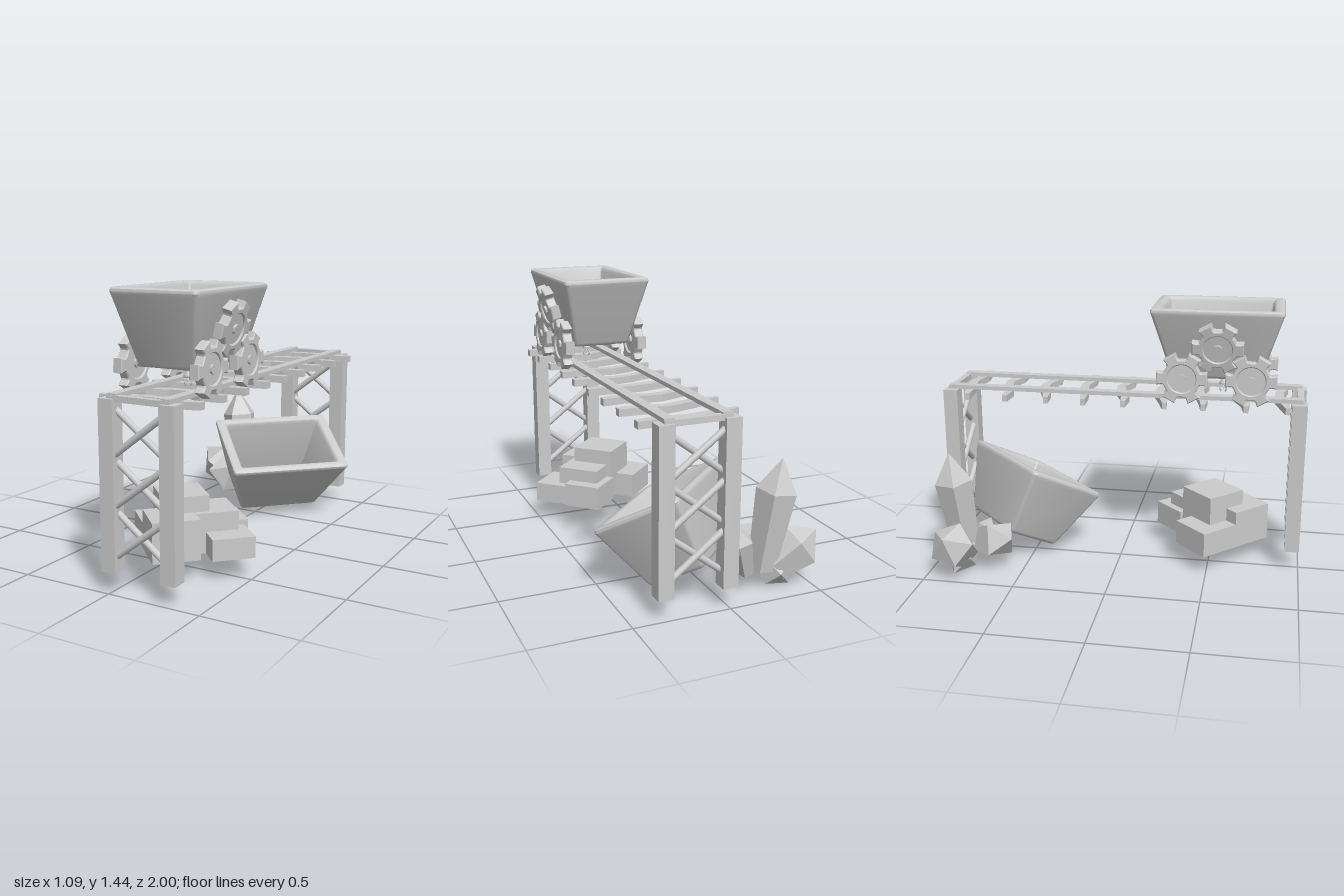
import * as THREE from 'three';
import { toCreasedNormals } from 'three/addons/utils/BufferGeometryUtils.js';

const smooth = new THREE.MeshStandardMaterial({ color: 0xcccccc });
const flat = new THREE.MeshStandardMaterial({ color: 0xcccccc, flatShading: true });
const CX = 0.168; // centre line of the track

function add(parent, name, geometry, x = 0, y = 0, z = 0, material = flat) {
  const mesh = new THREE.Mesh(geometry, material);
  mesh.name = name;
  mesh.position.set(x, y, z);
  parent.add(mesh);
  return mesh;
}

const box = (parent, name, w, h, d, x, y, z) => add(parent, name, new THREE.BoxGeometry(w, h, d), x, y, z);

// Round bar between two points
function bar(parent, name, a, b, r) {
  const dir = b.clone().sub(a);
  const mesh = add(parent, name, new THREE.CylinderGeometry(r, r, dir.length(), 10), 0, 0, 0, smooth);
  mesh.position.copy(a).add(b).multiplyScalar(0.5);
  mesh.quaternion.setFromUnitVectors(new THREE.Vector3(0, 1, 0), dir.normalize());
}

// Hollow tapered tub lofted through rounded rectangles [y, halfX, halfZ, cornerRadius]
function tubGeometry() {
  const rings = [
    [0, 0, 0, 0], [0, 0.145, 0.222, 0.015], [0.006, 0.156, 0.234, 0.02], [0.02, 0.163, 0.241, 0.02],
    [0.345, 0.237, 0.342, 0.02], [0.36, 0.243, 0.349, 0.025], [0.373, 0.24, 0.346, 0.025], [0.38, 0.23, 0.336, 0.02],
    [0.38, 0.205, 0.305, 0.015], [0.374, 0.195, 0.295, 0.012], [0.355, 0.188, 0.285, 0.01],
    [0.04, 0.145, 0.235, 0.008], [0.04, 0, 0, 0],
  ];
  const loops = rings.map(([y, hx, hz, r]) => {
    const loop = [];
    for (let c = 0; c < 4; c++) {
      const sx = c === 0 || c === 3 ? 1 : -1, sz = c < 2 ? 1 : -1;
      for (let k = 0; k <= 3; k++) {
        const a = (c + k / 3) * Math.PI / 2;
        loop.push([sx * (hx - r) + r * Math.cos(a), y, sz * (hz - r) + r * Math.sin(a)]);
      }
    }
    return loop;
  });
  const pos = [];
  for (let i = 0; i < loops.length - 1; i++) {
    const n = loops[i].length;
    for (let j = 0; j < n; j++) {
      const a = loops[i][j], b = loops[i][(j + 1) % n], c = loops[i + 1][j], d = loops[i + 1][(j + 1) % n];
      pos.push(...a, ...c, ...b, ...b, ...c, ...d);
    }
  }
  const g = new THREE.BufferGeometry();
  g.setAttribute('position', new THREE.Float32BufferAttribute(pos, 3));
  return toCreasedNormals(g, 0.7);
}

// Six-toothed wheel with a raised ring, thin web and hub, axis along x
function makeGear(name) {
  const gear = new THREE.Group();
  gear.name = name;
  const shape = new THREE.Shape();
  for (let i = 0; i < 6; i++) {
    const t = i * Math.PI / 3;
    [[0.098, -0.3], [0.108, -0.24], [0.134, -0.23], [0.134, 0.23], [0.108, 0.24], [0.098, 0.3]].forEach(([r, a], k) => {
      const x = r * Math.cos(t + a), y = r * Math.sin(t + a);
      if (i + k === 0) shape.moveTo(x, y); else shape.lineTo(x, y);
    });
  }
  shape.closePath();
  shape.holes.push(new THREE.Path().absarc(0, 0, 0.08, 0, Math.PI * 2, true));
  const ring = new THREE.ExtrudeGeometry(shape, {
    depth: 0.042, bevelEnabled: true, bevelSize: 0.005, bevelThickness: 0.005, bevelSegments: 1, curveSegments: 20,
  });
  ring.translate(0, 0, -0.021).rotateY(Math.PI / 2);
  add(gear, 'gearRing', ring);
  const disc = (r, w) => toCreasedNormals(new THREE.CylinderGeometry(r, r, w, 24).rotateZ(Math.PI / 2), 0.7);
  add(gear, 'gearWeb', disc(0.085, 0.032), 0, 0, 0, smooth);
  add(gear, 'gearHub', disc(0.024, 0.056), 0, 0, 0, smooth);
  return gear;
}

// Crystal with a narrow foot, wide shoulder and pointed tip
function crystal(parent, foot, tip, r, sides, shoulder = 0.7) {
  const a = new THREE.Vector3(...foot), dir = new THREE.Vector3(...tip).sub(a), len = dir.length();
  const profile = [[0, 0], [r * 0.7, 0], [r, len * shoulder], [0, len]].map(p => new THREE.Vector2(...p));
  const mesh = add(parent, 'crystal', new THREE.LatheGeometry(profile, sides), ...foot);
  mesh.quaternion.setFromUnitVectors(new THREE.Vector3(0, 1, 0), dir.normalize());
}

export function createModel() {
  const model = new THREE.Group();
  model.name = 'mineTrack';

  // Rails and end towers
  for (const s of [-1, 1]) {
    box(model, 'rail', 0.052, 0.022, 1.95, CX + s * 0.145, 0.957, 0);
    box(model, 'endBeam', 0.34, 0.03, 0.034, CX, 0.945, s * 0.964);
    for (const t of [-1, 1]) {
      box(model, 'post', 0.08, 0.835, 0.08, CX + t * 0.166, 0.5275, s * 0.96);
      for (const y of [0.786, 0.54, 0.293]) {
        bar(model, 'crossBrace', new THREE.Vector3(CX - 0.16, y - t * 0.122, s * 0.96 + t * 0.008),
          new THREE.Vector3(CX + 0.16, y + t * 0.122, s * 0.96 + t * 0.008), 0.017);
      }
    }
  }

  // Crooked sleepers
  for (let i = 0; i < 9; i++) {
    const w = k => Math.sin(i * 2.3 + k * 1.7) * 0.008;
    const spine = [[-0.265, -0.03, 0.014], [-0.15, -0.016, 0.026], [-0.04, 0.02, 0.029], [0.04, 0.028, 0.026],
      [0.15, -0.002, 0.03], [0.265, 0.008, 0.024]];
    const edge = s => spine.map(([x, z, h], k) => new THREE.Vector2(x, z + w(k) + s * h));
    const plank = new THREE.ExtrudeGeometry(new THREE.Shape([...edge(-1), ...edge(1).reverse()]),
      { depth: 0.036, bevelEnabled: false });
    plank.rotateX(-Math.PI / 2);
    const mesh = add(model, 'sleeper', plank, CX, 0.911, (i - 4) * 0.217);
    mesh.scale.z = 0.9;
  }

  // Upper cart on its gears
  const tub = tubGeometry();
  add(model, 'upperCart', tub, CX, 1.06, 0.51, smooth);
  for (const s of [-1, 1]) {
    for (const [z, y, x, tilt] of [[0.7, 1.072, 0.21, 0], [0.335, 1.072, 0.21, 0], [0.522, 1.244, 0.23, 0.235]]) {
      const gear = makeGear('gearWheel');
      gear.position.set(CX + s * x, y, z);
      gear.rotation.z = -s * tilt;
      model.add(gear);
      if (!tilt) bar(model, 'axle', new THREE.Vector3(CX + s * 0.13, y, z), new THREE.Vector3(CX + s * x, y, z), 0.018);
    }
  }

  // Claw hanging below the upper cart
  const stem = [[0, 0.11], [0.012, 0.11], [0.013, 0.065], [0.022, 0.045], [0.022, 0.035], [0.01, 0.03], [0, 0.03]];
  add(model, 'clawStem', new THREE.LatheGeometry(stem.reverse().map(p => new THREE.Vector2(...p)), 12), CX, 0.96, 0.544);
  for (let i = 0; i < 3; i++) {
    const finger = add(model, 'clawFinger', new THREE.TorusGeometry(0.02, 0.005, 6, 10, 3.6), CX, 0.974, 0.544);
    finger.rotation.set(0, i * Math.PI * 2 / 3, -0.9, 'YXZ');
  }

  // Pile of blocks standing on their corners in plan: [x, z, half diagonal, bottom, top]
  const blocks = [[0.1, 0.51, 0.168, 0.2, 0.405], [-0.03, 0.49, 0.17, 0.115, 0.25], [0.13, 0.65, 0.17, 0.115, 0.322],
    [0.22, 0.43, 0.17, 0.115, 0.322], [0.36, 0.485, 0.155, 0.115, 0.225], [0.24, 0.33, 0.15, 0.118, 0.25]];
  const pile = new THREE.Group();
  pile.name = 'blockPile';
  for (const [x, z, d, y0, y1] of blocks) {
    const w = d * Math.SQRT2;
    box(pile, 'block', w, y1 - y0, w, x, (y0 + y1) / 2, z).rotation.y = Math.PI / 4;
  }
  model.add(pile);

  // Fallen cart, turned and tipped, with a small heap inside
  const fallen = new THREE.Group();
  fallen.name = 'fallenCart';
  const tip = 0.49;
  fallen.rotation.set(0, -Math.PI / 4, -tip, 'YXZ');
  const normal = new THREE.Vector3(0, 1, 0).applyEuler(fallen.rotation);
  fallen.position.set(0.16, 0.455, -0.52).addScaledVector(normal, -0.38);
  add(fallen, 'fallenCartTub', tub, 0, 0, 0, smooth);
  const heap = pile.clone();
  heap.name = 'smallHeap';
  heap.scale.setScalar(0.33);
  heap.position.set(-0.02, 0.005, -0.14);
  fallen.add(heap);
  model.add(fallen);

  // Crystal cluster
  crystal(model, [-0.26, 0.1, -0.83], [-0.33, 0.68, -0.88], 0.105, 5, 0.72);
  crystal(model, [-0.32, 0.1, -0.83], [-0.55, 0.27, -0.86], 0.125, 5, 0.6);
  crystal(model, [-0.2, 0.13, -0.78], [-0.35, 0.21, -0.54], 0.115, 4, 0.65);
  crystal(model, [-0.16, 0.1, -0.85], [-0.09, 0.36, -0.9], 0.06, 5, 0.72);
  crystal(model, [-0.2, 0.1, -0.78], [-0.14, 0.24, -0.72], 0.05, 4, 0.65);
  crystal(model, [-0.28, 0.14, -0.81], [-0.4, 0.004, -0.86], 0.09, 5, 0.5);

  return model;
}
